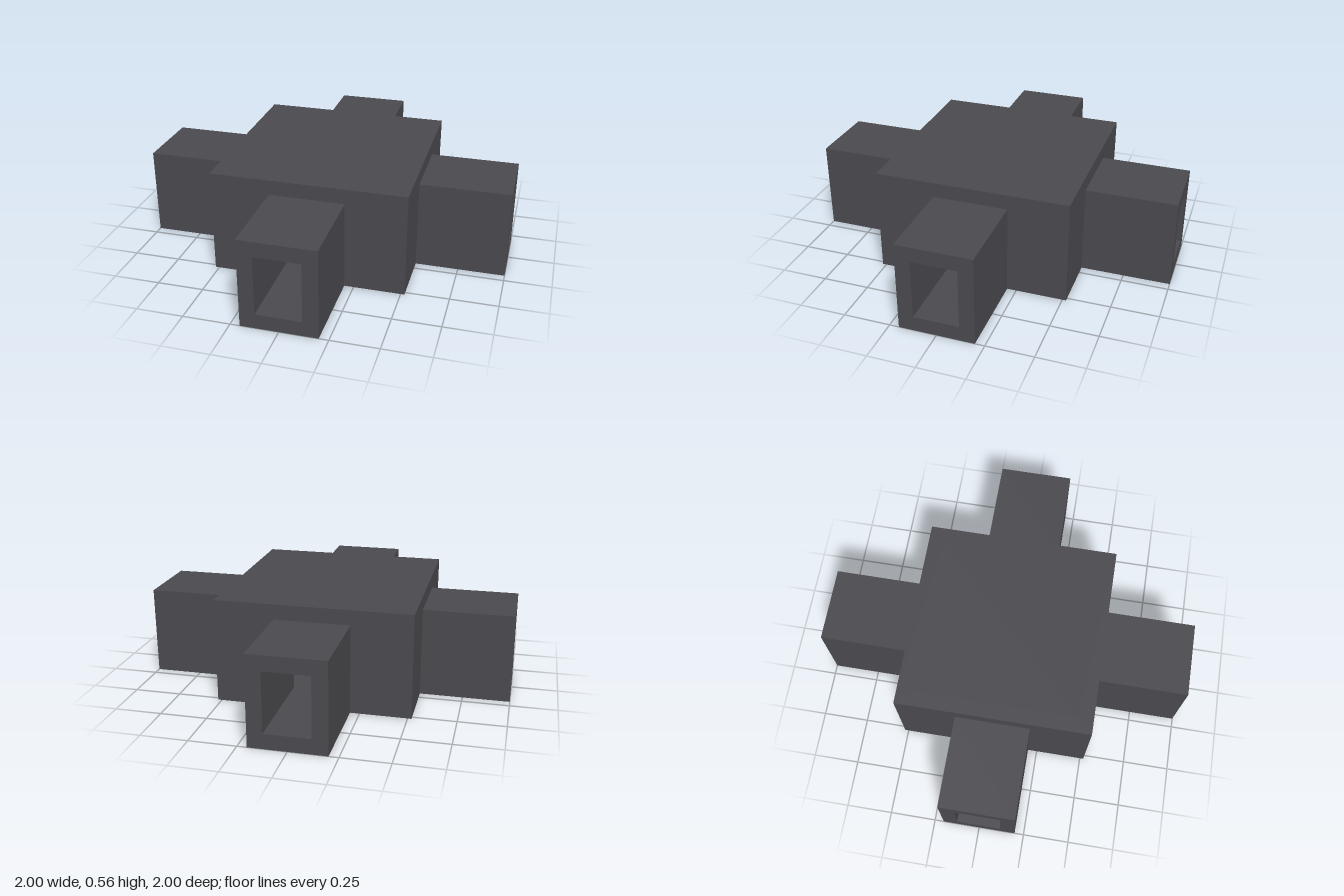
import * as THREE from 'three';

const WALL = 0.08, ROOM = 0.52, ROOM_H = 0.56, REACH = 1;
const PASSAGE = 0.2, PASSAGE_H = 0.48;

// Upright rectangle standing on y = 0, pierced by the doorway
function frameShape(half, height) {
  const rect = (P, w, y0, y1) => new P([
    new THREE.Vector2(-w, y0), new THREE.Vector2(w, y0),
    new THREE.Vector2(w, y1), new THREE.Vector2(-w, y1),
  ]);
  const shape = rect(THREE.Shape, half, 0, height);
  shape.holes.push(rect(THREE.Path, PASSAGE - WALL, WALL, PASSAGE_H - WALL));
  return shape;
}

function frame(half, height, z0, z1) {
  const geometry = new THREE.ExtrudeGeometry(frameShape(half, height), { depth: z1 - z0, bevelEnabled: false });
  return geometry.translate(0, 0, z0);
}

// Room wall whose ends are mitred to meet its neighbours at the corners
function roomWallGeometry() {
  const inner = ROOM - WALL;
  const geometry = frame(ROOM, ROOM_H, inner, ROOM);
  const p = geometry.attributes.position;
  for (let i = 0; i < p.count; i++) {
    if (p.getZ(i) < inner + 0.01 && Math.abs(p.getX(i)) > inner) p.setX(i, Math.sign(p.getX(i)) * inner);
  }
  geometry.computeVertexNormals();
  return geometry;
}

export function createModel() {
  const group = new THREE.Group();
  const stone = new THREE.MeshStandardMaterial({ color: 0x4a494e });
  stone.name = 'dark stone';

  const add = (name, geometry, parent = group) => {
    const mesh = new THREE.Mesh(geometry, stone);
    mesh.name = name;
    parent.add(mesh);
    return mesh;
  };

  // Floor and ceiling of the hollow central room
  const slab = new THREE.BoxGeometry(2 * (ROOM - WALL), WALL, 2 * (ROOM - WALL));
  add('roomFloor', slab).position.y = WALL / 2;
  add('roomCeiling', slab).position.y = ROOM_H - WALL / 2;

  // Four identical sides, each a wall with a doorway and an open passage
  const wall = roomWallGeometry();
  const passage = frame(PASSAGE, PASSAGE_H, ROOM, REACH);
  ['front', 'left', 'back', 'right'].forEach((side, i) => {
    const arm = new THREE.Group();
    arm.name = side + 'Arm';
    arm.rotation.y = i * Math.PI / 2;
    add(side + 'Wall', wall, arm);
    add(side + 'Passage', passage, arm);
    group.add(arm);
  });

  return group;
}
